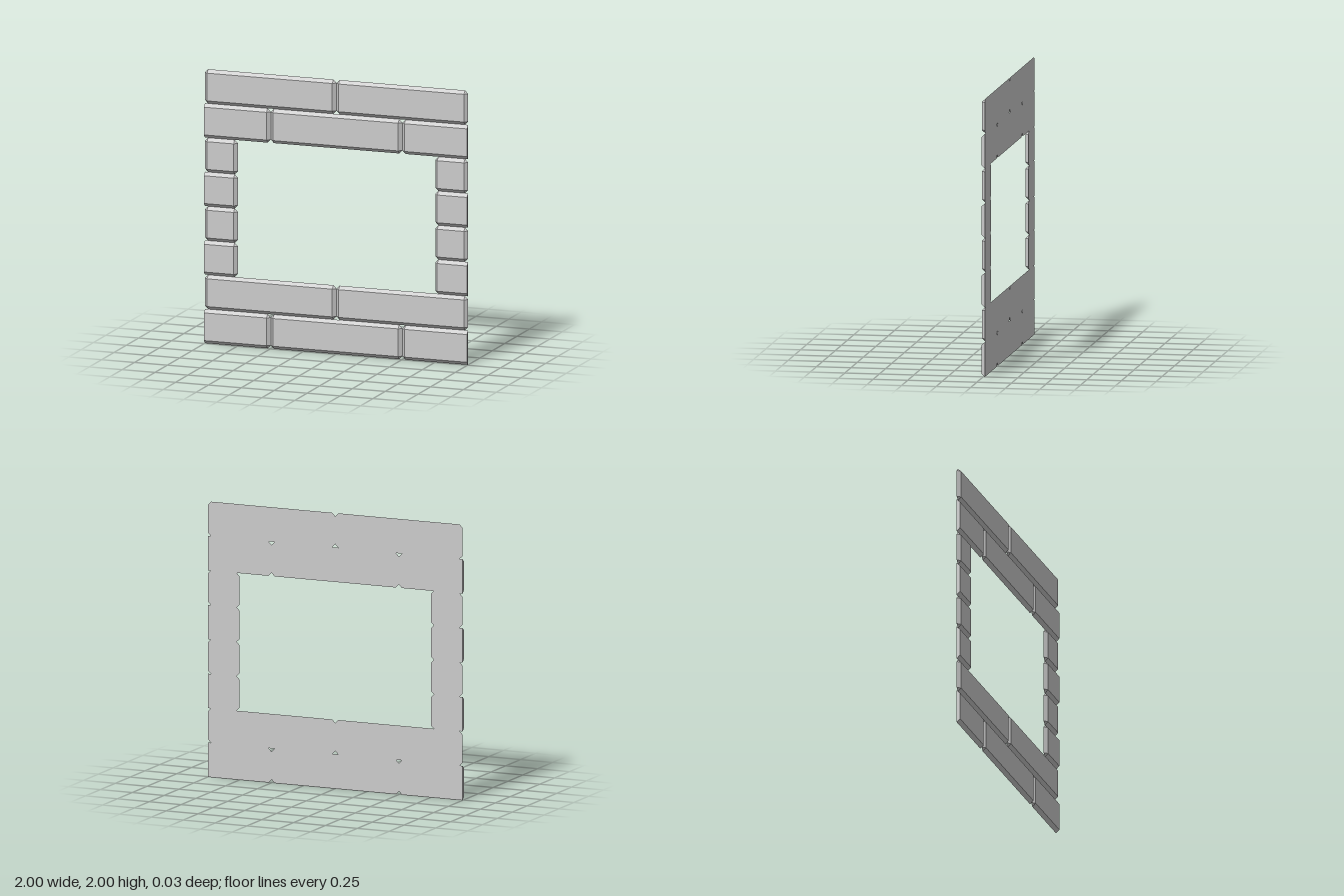
import * as THREE from 'three';
import { ConvexGeometry } from 'three/addons/geometries/ConvexGeometry.js';

const ROW = 0.25;     // course height
const BEVEL = 0.024;  // inset of the front face
const HALF = 0.0125;  // half thickness of the wall

// One brick from x0 to x1: bevelled toward the front, with clipped back corners.
// An end that is cut (where the wall tiles on) stays flat and square.
function brickGeometry(x0, x1, y0, cutLeft, cutRight) {
  const points = [];
  for (const [x, inward, cut] of [[x0, 1, cutLeft], [x1, -1, cutRight]]) {
    const inset = x + (cut ? 0 : inward * BEVEL);
    for (const [y, up] of [[y0, 1], [y0 + ROW, -1]]) {
      points.push(new THREE.Vector3(inset, y + up * BEVEL, HALF));
      points.push(new THREE.Vector3(inset, y, -HALF));
      if (!cut) points.push(new THREE.Vector3(x, y + up * BEVEL, -HALF));
    }
  }
  return new ConvexGeometry(points);
}

export function createModel() {
  const wall = new THREE.Group();
  wall.name = 'brickWallWithWindowOpening';
  const material = new THREE.MeshStandardMaterial({ color: 0xcccccc, flatShading: true });

  for (let row = 0; row < 8; row++) {
    const course = new THREE.Group();
    course.name = `course${row + 1}`;
    const cutEnds = row % 2 === 0; // every other course is cut at the wall's edges
    const besideOpening = row >= 2 && row <= 5;

    let spans;
    if (besideOpening) spans = [[-1, -0.75], [0.75, 1]];
    else if (cutEnds) spans = [[-1, -0.5], [-0.5, 0.5], [0.5, 1]];
    else spans = [[-1, 0], [0, 1]];

    for (const [x0, x1] of spans) {
      const brick = new THREE.Mesh(
        brickGeometry(x0, x1, row * ROW, cutEnds && x0 === -1, cutEnds && x1 === 1),
        material
      );
      brick.name = besideOpening ? 'jambBrick' : 'brick';
      course.add(brick);
    }
    wall.add(course);
  }
  return wall;
}
